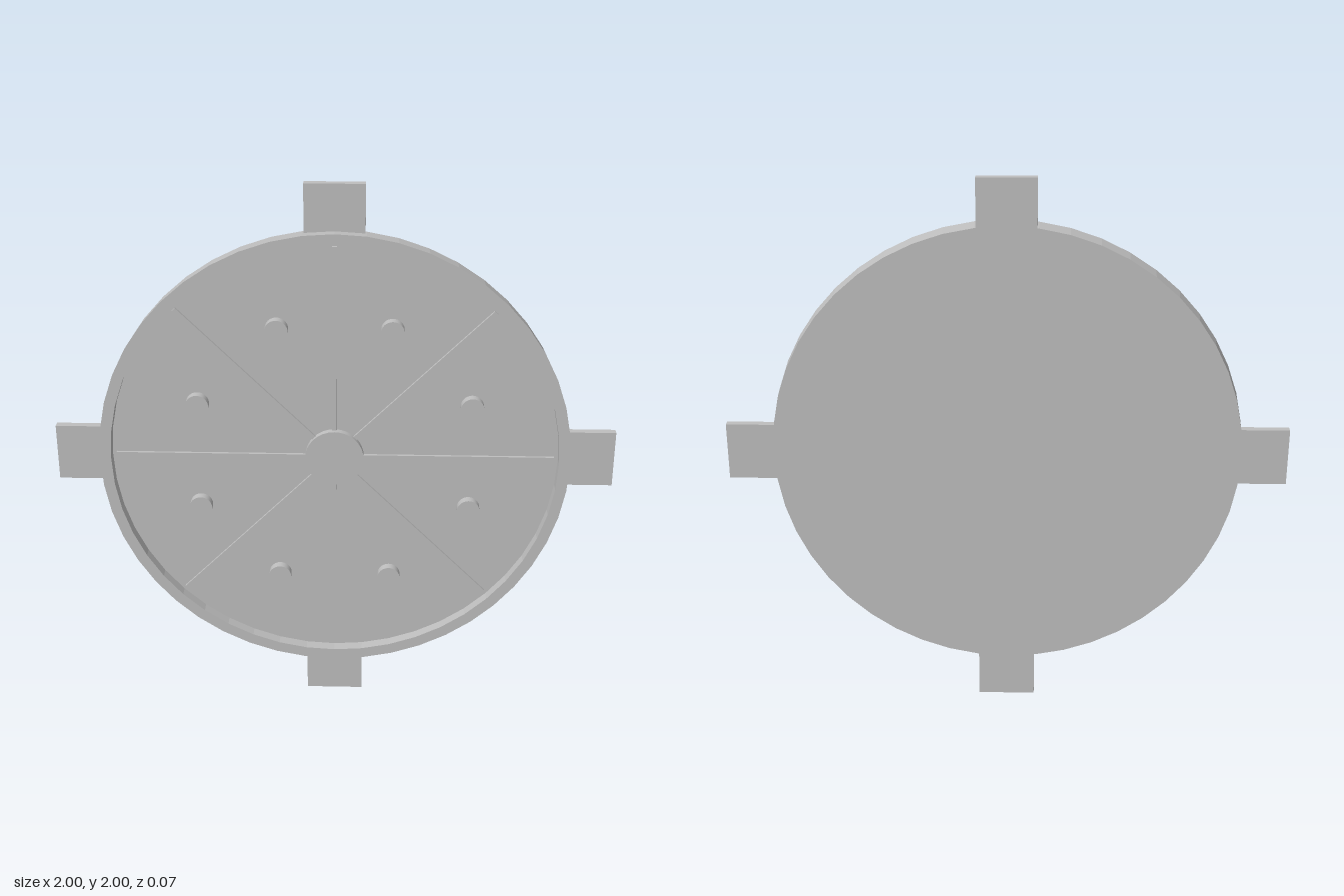
import * as THREE from 'three';

export function createModel() {
  const model = new THREE.Group();
  const grey = new THREE.MeshStandardMaterial({ color: 0xbebebe });
  grey.name = 'plain grey';

  const BACK = -0.035, FRONT = 0.035, FLOOR = -0.007;
  const disc = new THREE.Group();
  disc.name = 'disc';
  disc.position.y = 1;
  model.add(disc);

  const add = (name, geometry, parent = disc) => {
    const mesh = new THREE.Mesh(geometry, grey);
    mesh.name = name;
    parent.add(mesh);
    return mesh;
  };

  // shallow dish: flat back, slightly tapered side, raised rim, recessed floor
  const profile = [
    [0, BACK], [0.835, BACK], [0.84, FRONT], [0.8, FRONT], [0.8, FLOOR], [0, FLOOR],
  ].map(([r, z]) => new THREE.Vector2(r, z));
  const dish = new THREE.LatheGeometry(profile, 48).toNonIndexed();
  dish.computeVertexNormals();
  dish.rotateX(Math.PI / 2);
  add('dish', dish);

  // round boss standing on the floor
  const boss = (name, radius, height, x, y) => {
    const geometry = new THREE.CylinderGeometry(radius, radius, height, 32);
    geometry.rotateX(Math.PI / 2);
    add(name, geometry).position.set(x, y, FLOOR + height / 2);
  };
  boss('hub', 0.105, 0.025, 0, 0);

  for (let i = 0; i < 8; i++) {
    const angle = i * Math.PI / 4;

    // thin low rib from the hub to the rim
    const spoke = new THREE.Group();
    spoke.name = 'spoke';
    spoke.rotation.z = angle;
    disc.add(spoke);
    add('rib', new THREE.BoxGeometry(0.7, 0.016, 0.01), spoke)
      .position.set(0.435, 0, FLOOR + 0.005);

    // peg midway between two ribs
    const pegAngle = angle + Math.PI / 8;
    boss('peg', 0.041, 0.032, 0.526 * Math.cos(pegAngle), 0.526 * Math.sin(pegAngle));

    // square tab outside every second rib
    if (i % 2 === 0) {
      add('tab', new THREE.BoxGeometry(0.19, 0.208, FLOOR - BACK), spoke)
        .position.set(0.905, 0, (FLOOR + BACK) / 2);
    }
  }
  return model;
}
